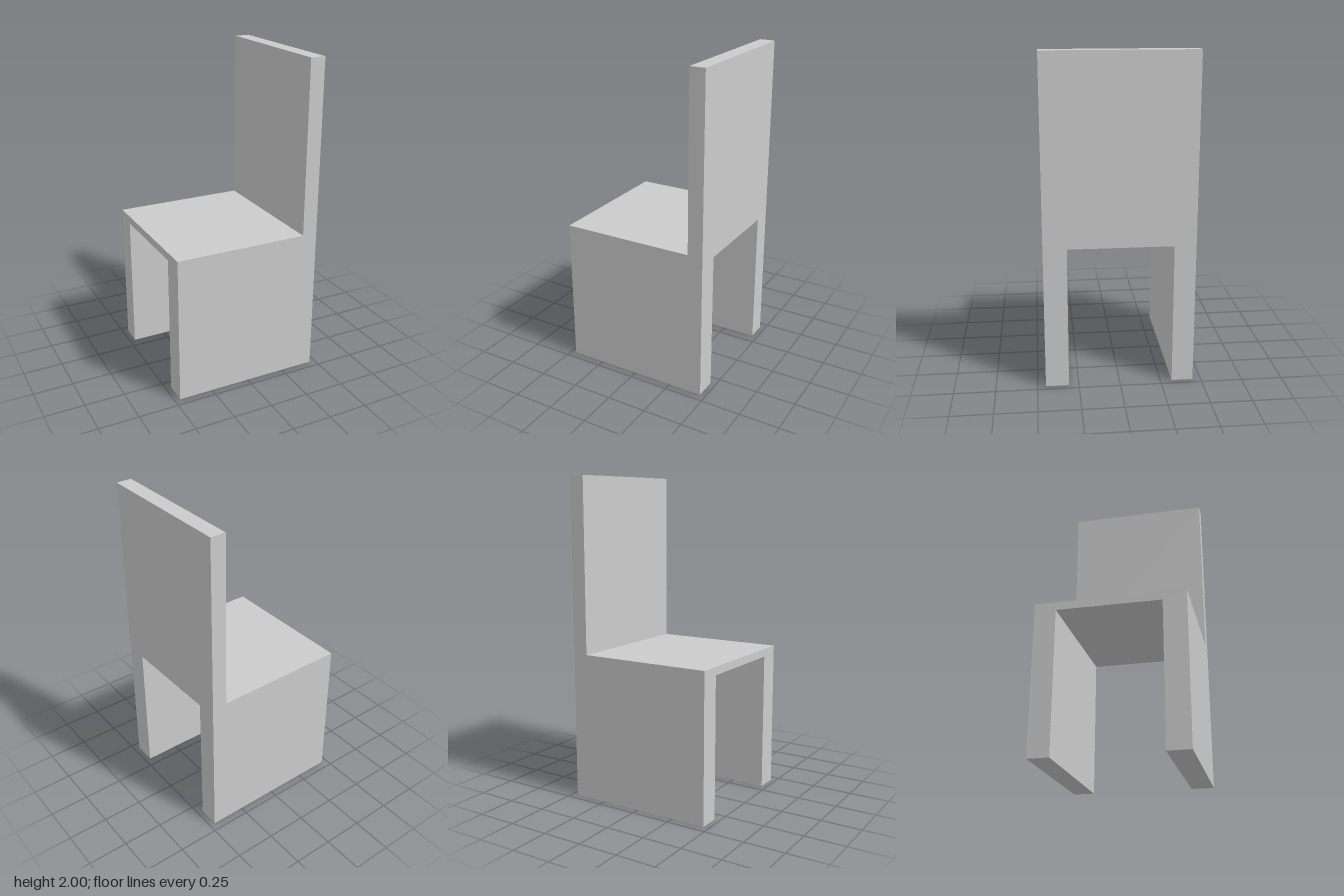
import * as THREE from 'three';

export function createModel() {
  const group = new THREE.Group();
  group.name = 'chair';
  const material = new THREE.MeshStandardMaterial({ color: 0xcccccc, flatShading: true });

  const halfX = 0.465, halfZ = 0.45;
  const seatTop = 0.92, seatUnder = 0.87, top = 2;
  const backThickness = 0.095;

  const add = (name, geometry) => {
    const mesh = new THREE.Mesh(geometry, material);
    mesh.name = name;
    group.add(mesh);
    return mesh;
  };

  // Seat and two slab legs: one arch profile (drawn in -z, y) extruded along x
  const arch = new THREE.Shape([
    [-halfZ, 0], [-0.31, 0], [-0.31, seatUnder], [0.32, seatUnder],
    [0.32, 0], [halfZ, 0], [halfZ, seatTop], [-halfZ, seatTop],
  ].map(([x, y]) => new THREE.Vector2(x, y)));
  const base = new THREE.ExtrudeGeometry(arch, { depth: 2 * halfX, bevelEnabled: false });
  base.translate(0, 0, -halfX).rotateY(Math.PI / 2);
  add('seatAndLegs', base);

  // Upright backrest slab on the +x edge of the seat
  const backrest = add('backrest', new THREE.BoxGeometry(backThickness, top - seatTop, 2 * halfZ));
  backrest.position.set(halfX - backThickness / 2, (top + seatTop) / 2, 0);

  return group;
}
